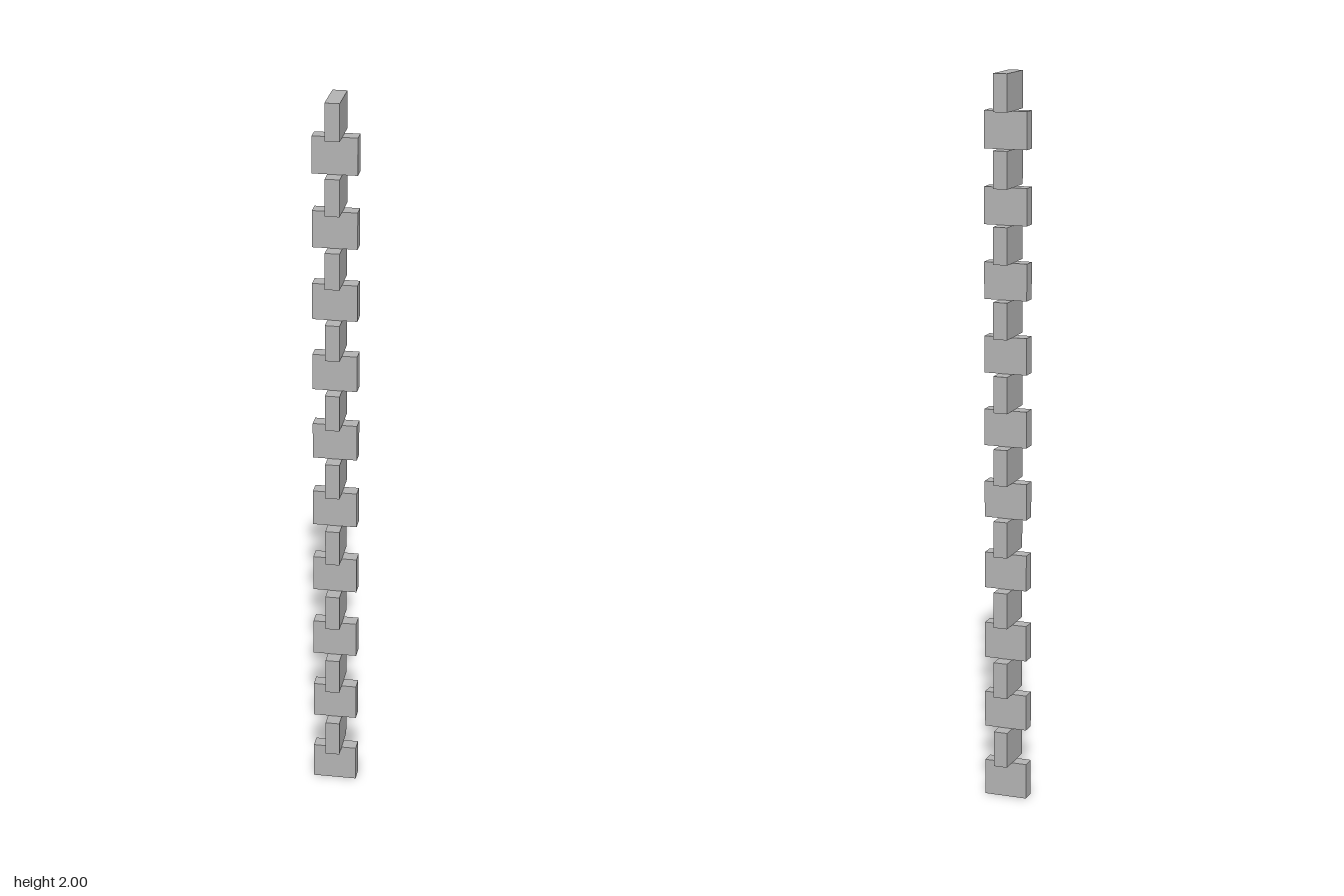
import * as THREE from 'three';

const LINKS = 20;
const HEIGHT = 2 / LINKS;
const WIDTH = 0.12;
const THICKNESS = 0.039;

export function createModel() {
  const model = new THREE.Group();
  model.name = 'chain';

  const grey = new THREE.MeshStandardMaterial({ color: 0xb3b3b3 });
  grey.name = 'grey';

  // Flat links stacked end to end, alternately wide in x and wide in z
  const wideX = new THREE.BoxGeometry(WIDTH, HEIGHT, THICKNESS);
  const wideZ = new THREE.BoxGeometry(THICKNESS, HEIGHT, WIDTH);
  for (let i = 0; i < LINKS; i++) {
    const sideways = i % 2 === 0;
    const link = new THREE.Mesh(sideways ? wideX : wideZ, grey);
    link.name = sideways ? 'sidewaysLink' : 'lengthwiseLink';
    link.position.y = (i + 0.5) * HEIGHT;
    model.add(link);
  }
  return model;
}
